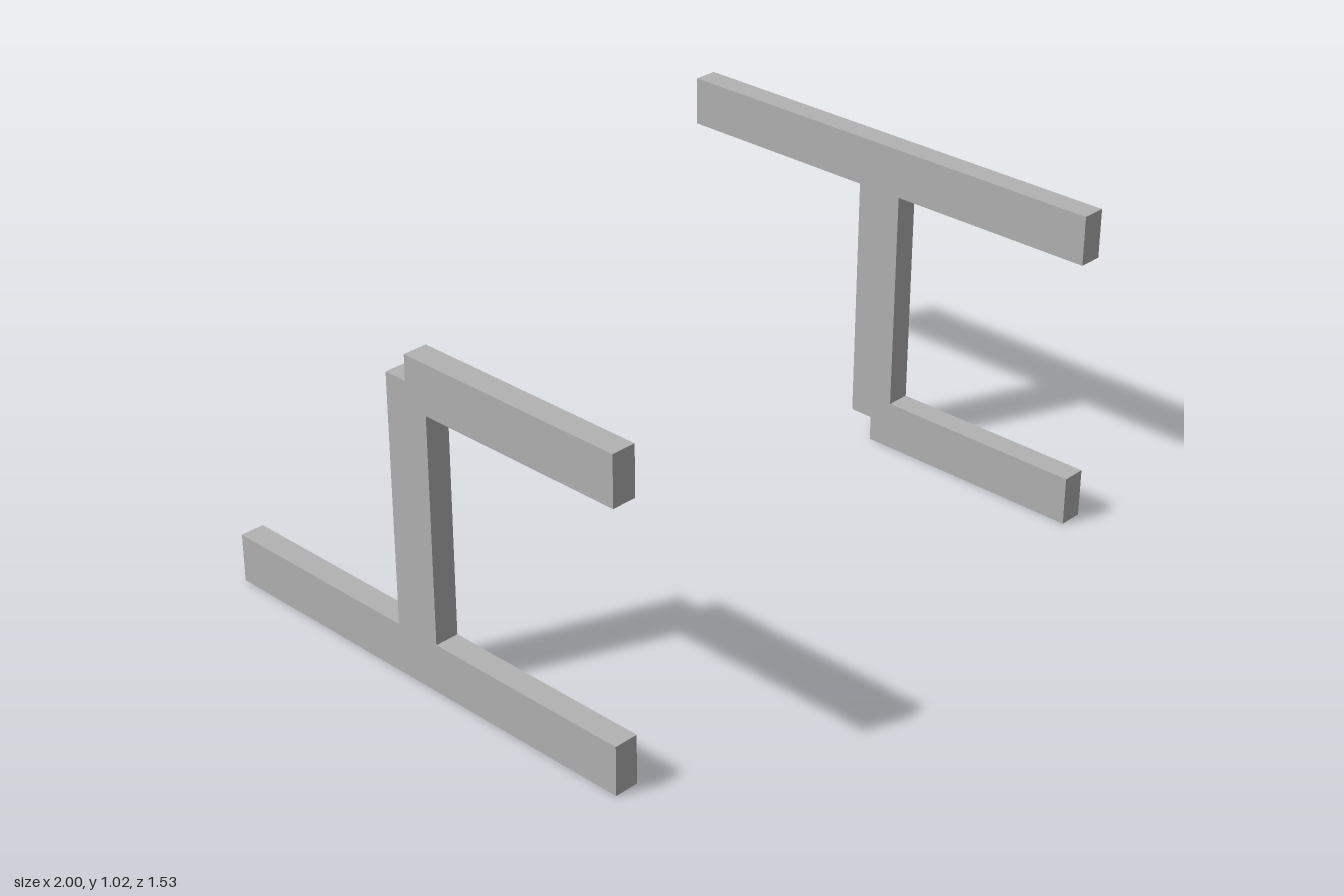
import * as THREE from 'three';

const H = 1.022, HALF_LENGTH = 0.767, BAR = 0.155, POST = 0.077, THICK = 0.077;

export function createModel() {
  const model = new THREE.Group();
  model.name = 'pairOfFrames';
  const grey = new THREE.MeshStandardMaterial({ color: 0xb2b2b2 });
  grey.name = 'plain grey';

  // Side profile (z, y): full top bar, post, half-length foot with a stepped notch
  const profile = new THREE.Shape([
    [0, 0], [0, 0.079], [-POST, 0.079], [-POST, H - BAR],
    [-HALF_LENGTH, H - BAR], [-HALF_LENGTH, H], [HALF_LENGTH, H],
    [HALF_LENGTH, H - BAR], [POST, H - BAR], [POST, BAR],
    [HALF_LENGTH, BAR], [HALF_LENGTH, 0],
  ].map(([z, y]) => new THREE.Vector2(z, y)));

  const geometry = new THREE.ExtrudeGeometry(profile, { depth: THICK, bevelEnabled: false });
  geometry.translate(0, -H / 2, -THICK / 2);
  geometry.rotateY(-Math.PI / 2); // profile x becomes z

  // Left frame upright, right frame turned upside down
  for (const [name, side] of [['leftFrame', 1], ['rightFrame', -1]]) {
    const frame = new THREE.Mesh(geometry, grey);
    frame.name = name;
    frame.position.set(side * (1 - THICK / 2), H / 2, 0);
    if (side < 0) frame.rotation.z = Math.PI;
    model.add(frame);
  }
  return model;
}
